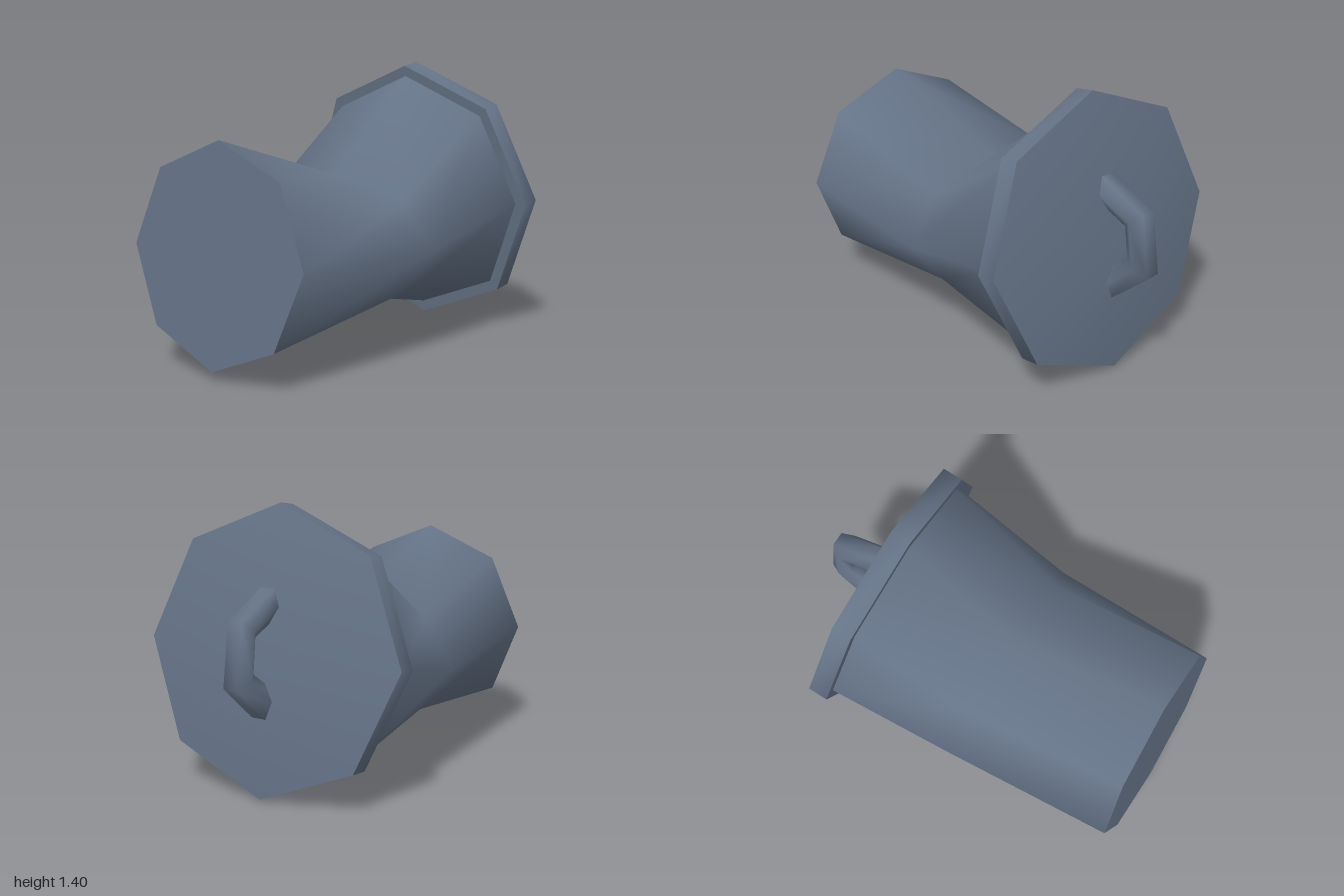
import * as THREE from 'three';

// Ring of points round a centre; u is the in-plane radius vector, rz the half width in z
function ring(cx, cy, ux, uy, rz, sides) {
  return Array.from({ length: sides }, (_, i) => {
    const a = (i / sides) * Math.PI * 2;
    return new THREE.Vector3(cx + ux * Math.cos(a), cy + uy * Math.cos(a), rz * Math.sin(a));
  });
}

// Ring given by its upper and lower points in the x-y plane
const span = (tx, ty, bx, by, rz) =>
  ring((tx + bx) / 2, (ty + by) / 2, (tx - bx) / 2, (ty - by) / 2, rz, 8);

function build(points, index) {
  const g = new THREE.BufferGeometry().setFromPoints(points);
  g.setIndex(index);
  g.computeVertexNormals();
  return g;
}

// Smooth skin through successive rings
function loft(rings) {
  const n = rings[0].length, index = [];
  for (let r = 0; r < rings.length - 1; r++) {
    for (let i = 0; i < n; i++) {
      const j = (i + 1) % n, a = r * n, b = a + n;
      index.push(a + i, a + j, b + i, a + j, b + j, b + i);
    }
  }
  return build(rings.flat(), index);
}

// Fan closing a ring towards an apex; facing 1 looks along the loft, -1 against it
function cap(points, apex, facing) {
  const n = points.length, index = [];
  for (let i = 0; i < n; i++) {
    const j = (i + 1) % n;
    index.push(n, facing > 0 ? i : j, facing > 0 ? j : i);
  }
  return build([...points, apex], index);
}

const centre = (pts) =>
  pts.reduce((s, p) => s.add(p), new THREE.Vector3()).divideScalar(pts.length);

export function createModel() {
  const model = new THREE.Group();
  const slate = new THREE.MeshStandardMaterial({ color: 0x657387 });
  slate.name = 'slate';
  const add = (name, geometry) => {
    const mesh = new THREE.Mesh(geometry, slate);
    mesh.name = name;
    model.add(mesh);
  };

  // Waisted octagonal body
  const end = span(-0.93, 1.12, -1.0, 0.045, 0.54);
  const waist = span(-0.1, 0.865, -0.04, 0.22, 0.585);
  const mouth = span(0.49, 1.34, 0.685, 0.055, 0.648);
  add('body', loft([end, waist, mouth]));
  add('bodyEnd', cap(end, centre(end), -1));

  // Tilted lid with a shallow conical face
  const lidBack = span(0.472, 1.387, 0.677, 0.0, 0.705);
  const lidFront = span(0.575, 1.405, 0.78, 0.012, 0.705);
  add('lidRim', loft([lidBack, lidFront]));
  add('lidBack', cap(lidBack, centre(lidBack), -1));
  add('lidFace', cap(lidFront, new THREE.Vector3(0.78, 0.72, 0), 1));

  // Hexagonal bar handle: centre x, y and mitred half thickness vector
  const handle = [
    [0.65, 0.965, 0.026, 0.06],
    [0.898, 0.8625, 0.052, 0.043],
    [0.93, 0.625, 0.065, -0.025],
    [0.73, 0.465, 0.045, -0.056],
  ].map(([x, y, ux, uy]) => {
    // Six corners: two at the sides, two outside, two inside
    const k = 1 / Math.sin(Math.PI / 3);
    return Array.from({ length: 6 }, (_, i) => {
      const a = Math.PI / 6 + (i * Math.PI) / 3, c = Math.cos(a) * k;
      return new THREE.Vector3(x + ux * c, y + uy * c, 0.075 * Math.sin(a));
    });
  });
  add('handle', loft(handle));
  add('handleStart', cap(handle[0], centre(handle[0]), -1));
  add('handleEnd', cap(handle[3], centre(handle[3]), 1));

  return model;
}
